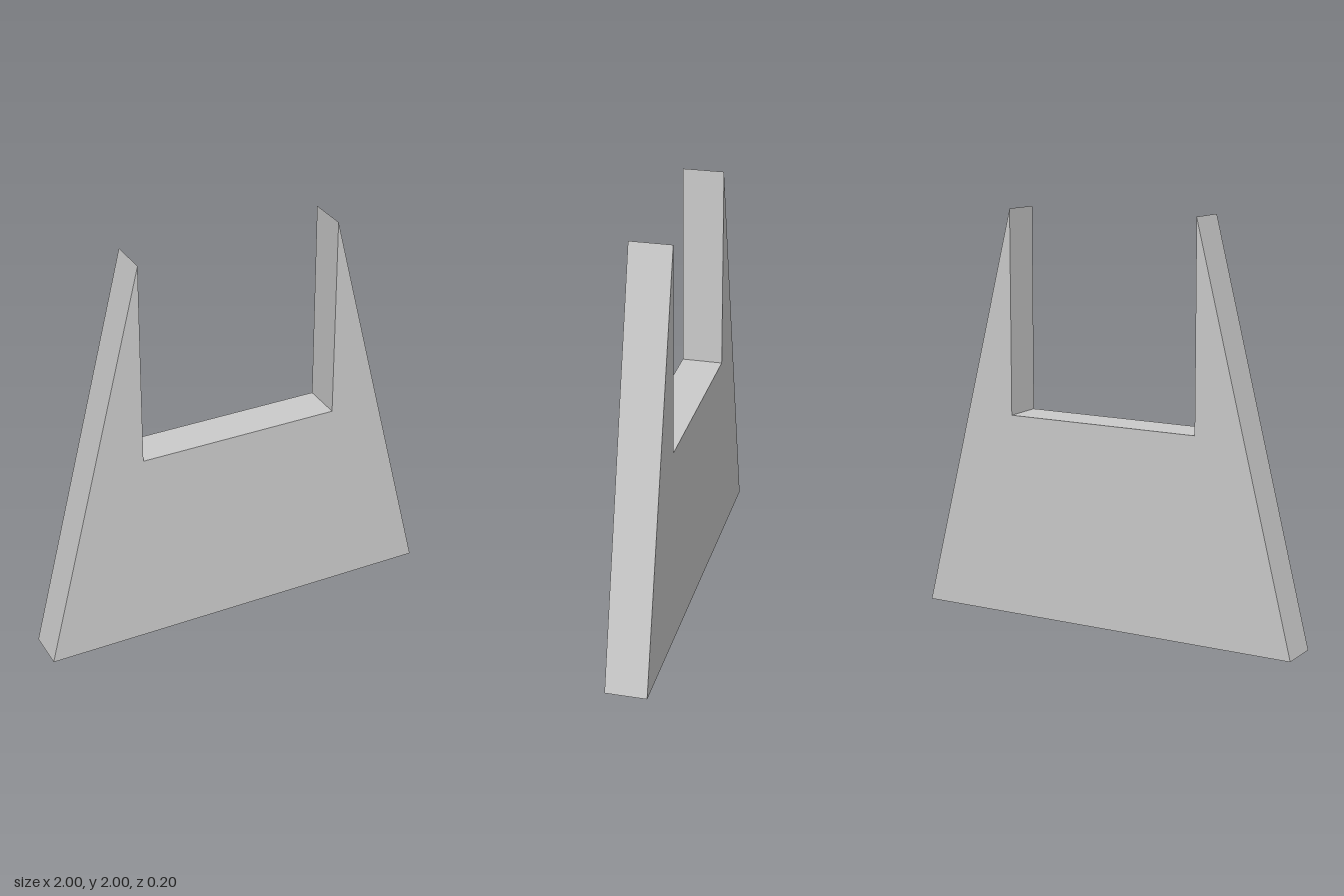
import * as THREE from 'three';

const DEPTH = 0.2;

// Right half of the outline, from the base corner up to the prong tip and down into the notch
const halfOutline = [[1, 0], [0.5, 2], [0.5, 1]];

export function createModel() {
  const group = new THREE.Group();
  group.name = 'notchedStand';

  // Mirror the half outline to close the slab's profile
  const mirrored = halfOutline.map(([x, y]) => [-x, y]).reverse();
  const profile = new THREE.Shape(
    [...halfOutline, ...mirrored].map(([x, y]) => new THREE.Vector2(x, y))
  );

  // Tapered slab with a square notch between two pointed prongs
  const geometry = new THREE.ExtrudeGeometry(profile, { depth: DEPTH, bevelEnabled: false });
  geometry.translate(0, 0, -DEPTH / 2);

  const slab = new THREE.Mesh(
    geometry,
    new THREE.MeshStandardMaterial({ color: 0xcccccc, flatShading: true })
  );
  slab.name = 'notchedSlab';
  group.add(slab);
  return group;
}
